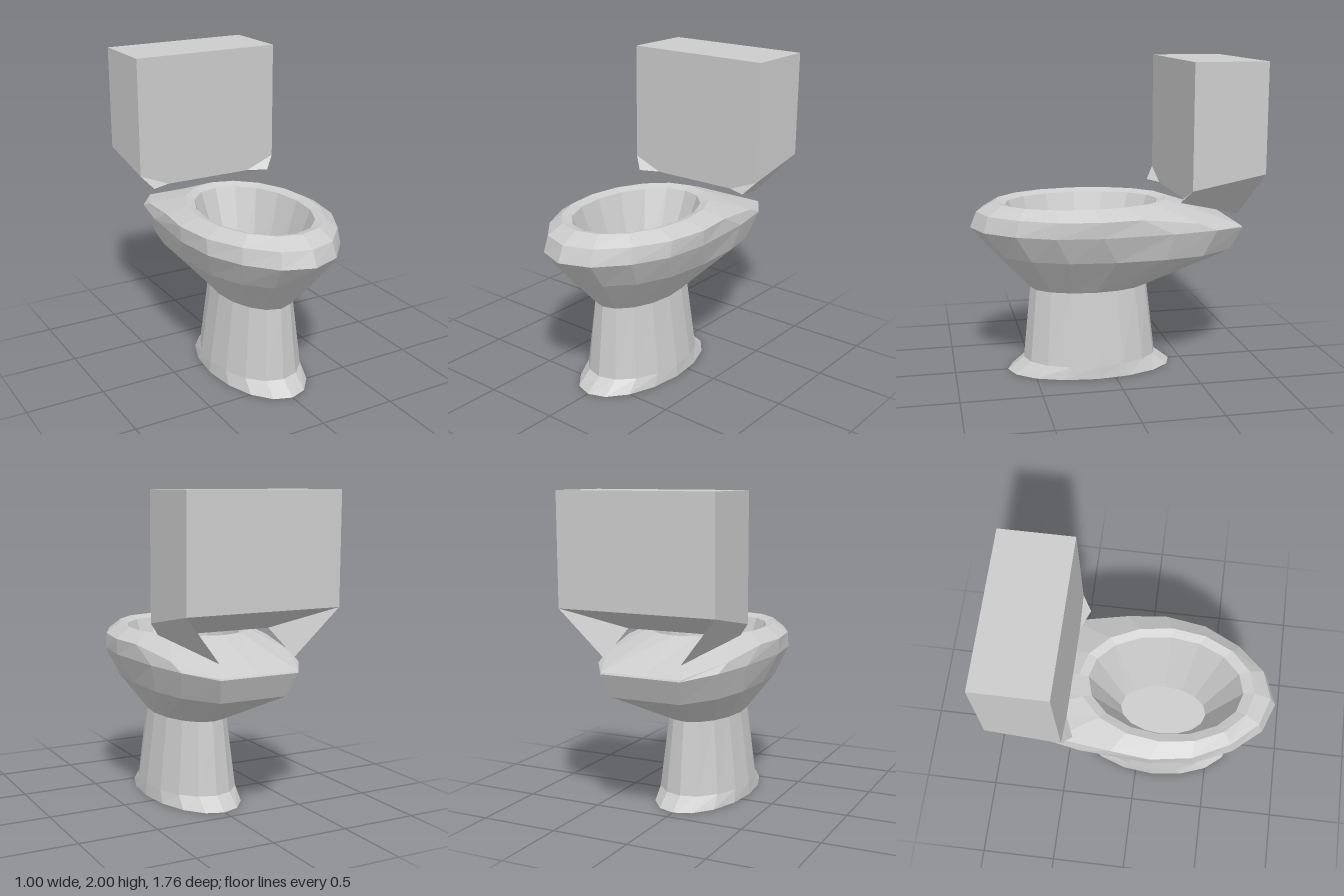
import * as THREE from 'three';

const SIDES = 16, HALF = SIDES / 2;

// Half outlines run from the front, around the left side, to the back
function oval(y, rx, rz, zc) {
  return Array.from({ length: HALF + 1 }, (_, i) => {
    const a = (i / HALF) * Math.PI;
    return [rx * Math.sin(a), y, zc + rz * Math.cos(a)];
  });
}

// Points are [x, z], or [x, z, y] where the height departs from the ring's
function outline(y, points) {
  return points.map(([x, z, py = y]) => [x, py, z]);
}

function facetedMesh(name, positions, index) {
  const indexed = new THREE.BufferGeometry();
  indexed.setAttribute('position', new THREE.Float32BufferAttribute(positions, 3));
  indexed.setIndex(index);
  const geometry = indexed.toNonIndexed();
  geometry.computeVertexNormals();
  const material = new THREE.MeshStandardMaterial({
    color: 0xcccccc, flatShading: true, side: THREE.DoubleSide,
  });
  const mesh = new THREE.Mesh(geometry, material);
  mesh.name = name;
  return mesh;
}

// Mirror each half outline into a full ring and skin between the rings
function loft(name, halves) {
  const positions = [], index = [];
  halves.forEach((half, r) => {
    for (let i = 0; i < SIDES; i++) {
      const [x, y, z] = half[i <= HALF ? i : SIDES - i];
      positions.push(i <= HALF ? x : -x, y, z);
      if (r === 0) continue;
      const j = (i + 1) % SIDES, lo = (r - 1) * SIDES, hi = r * SIDES;
      index.push(lo + i, lo + j, hi + j, lo + i, hi + j, hi + i);
    }
  });
  return facetedMesh(name, positions, index);
}

function createPedestal() {
  return loft('pedestal', [
    oval(0, 0, 0, 0.12),
    oval(0, 0.295, 0.54, 0.12),
    oval(0.08, 0.29, 0.437, 0.118),
    oval(0.55, 0.225, 0.385, 0.122),
  ]);
}

function createBowl() {
  return loft('bowl', [
    oval(0.55, 0.225, 0.385, 0.122),
    // flaring underside
    outline(0.79, [[0, 0.73], [0.16, 0.68], [0.3, 0.53], [0.39, 0.31], [0.42, 0.02],
      [0.41, -0.29], [0.36, -0.54], [0.22, -0.76], [0, -0.76]]),
    // widest edge, squared off at the back
    outline(0.96, [[0, 0.88], [0.19, 0.81], [0.345, 0.63], [0.45, 0.4], [0.485, 0.12],
      [0.455, -0.33], [0.4, -0.62], [0.26, -0.83, 0.94], [0, -0.83, 0.94]]),
    // outer rim, dropping into the rear deck
    outline(1.06, [[0, 0.84], [0.18, 0.78], [0.335, 0.61], [0.45, 0.38], [0.49, 0.12],
      [0.465, -0.13], [0.41, -0.5, 1.01], [0.26, -0.825, 0.95], [0, -0.825, 0.95]]),
    // rim top, opening and basin floor
    oval(1.12, 0.385, 0.56, 0.17),
    oval(1.1, 0.33, 0.495, 0.165),
    oval(0.6, 0.17, 0.29, 0.16),
    oval(0.6, 0, 0, 0.16),
  ]);
}

function createTank() {
  const zf = -0.425, zb = -0.885;
  // Left half corners; the right half mirrors them
  const corners = [
    [0.5, 2, zf], [0.5, 2, zb],         // 0, 1 top
    [0.5, 1.23, zf], [0.5, 1.32, zb],   // 2, 3 lower side
    [0.43, 1.15, -0.37],                // 4 front foot tip
    [0.25, 1.03, -0.8],                 // 5 rear foot tip
    [0.3, 1.15, zf],                    // 6 front lower edge
  ];
  const n = corners.length;
  const positions = [...corners, ...corners.map(([x, y, z]) => [-x, y, z])].flat();
  const index = [];
  const quad = (a, b, c, d) => index.push(a, b, c, a, c, d);

  // Faces spanning both halves: top, back, front, lower front, sloping underside
  quad(n, 0, 1, n + 1);
  quad(1, 3, n + 3, n + 1);
  quad(n, n + 2, 2, 0);
  quad(n + 2, n + 6, 6, 2);
  quad(n + 6, n + 3, 3, 6);

  // Side wall and tapered foot, mirrored
  const sideFaces = [
    [0, 2, 3], [0, 3, 1], [2, 4, 5], [2, 5, 3],
    [2, 6, 4], [4, 6, 5], [3, 5, 6],
  ];
  for (const [a, b, c] of sideFaces) {
    index.push(a, b, c, n + a, n + c, n + b);
  }
  return facetedMesh('tank', positions, index);
}

export function createModel() {
  const group = new THREE.Group();
  group.name = 'toilet';
  group.add(createPedestal(), createBowl(), createTank());
  return group;
}
